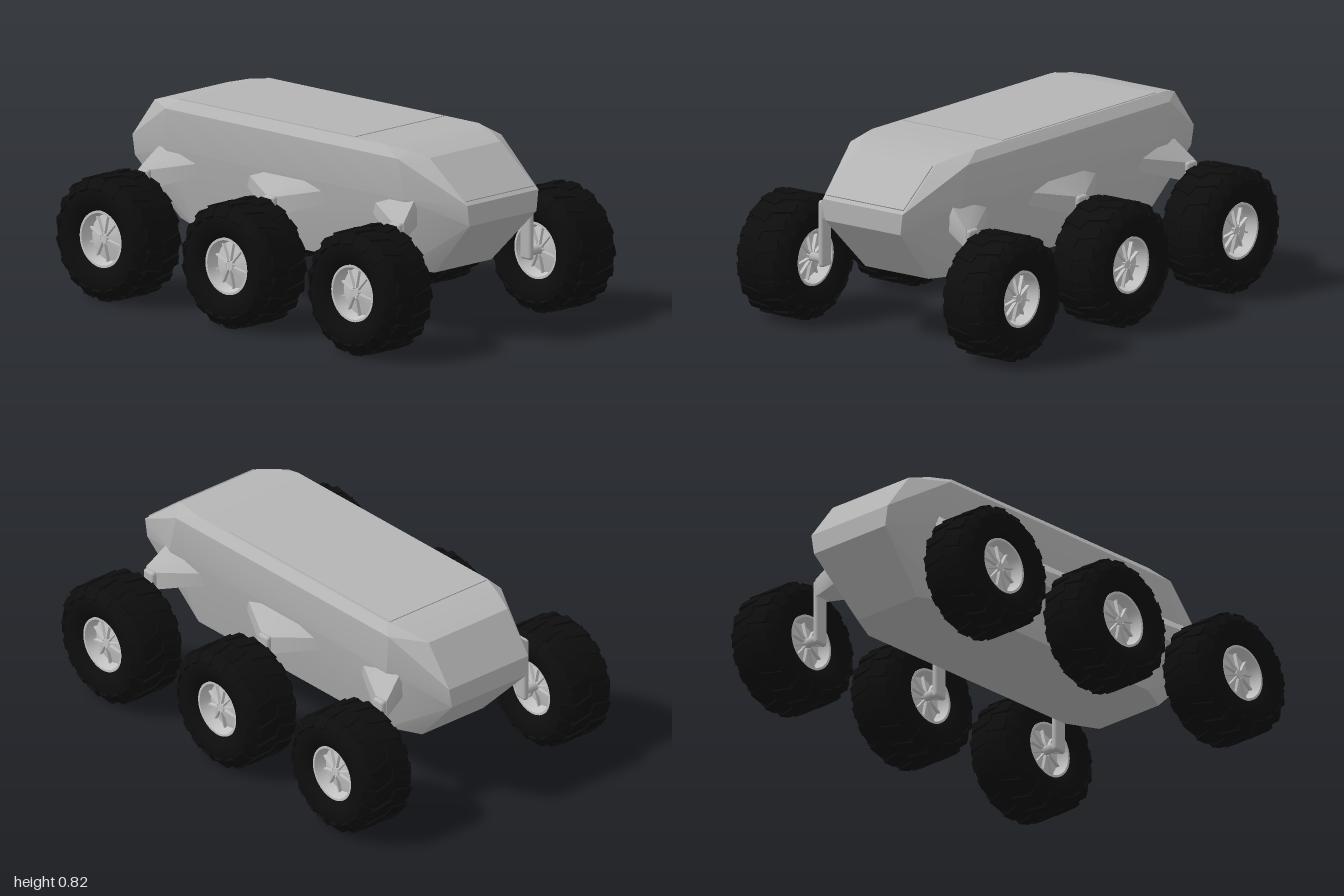
import * as THREE from 'three';
import { mergeGeometries, toCreasedNormals } from 'three/addons/utils/BufferGeometryUtils.js';
import { ConvexGeometry } from 'three/addons/geometries/ConvexGeometry.js';
import { RoundedBoxGeometry } from 'three/addons/geometries/RoundedBoxGeometry.js';

const bodyGrey = new THREE.MeshStandardMaterial({ name: 'body grey', color: 0xb4b4b4 });
const rimGrey = new THREE.MeshStandardMaterial({ name: 'rim grey', color: 0xc4c4c4 });
const tyreBlack = new THREE.MeshStandardMaterial({ name: 'tyre black', color: 0x0d0d0d });

function part(parent, name, geometry, material) {
  const mesh = new THREE.Mesh(geometry, material);
  mesh.name = name;
  parent.add(mesh);
  return mesh;
}

// Faceted solid spanning corner points, optionally mirrored across x
function hull(points, mirror = false) {
  const all = [];
  for (const [x, y, z] of points) {
    all.push(new THREE.Vector3(x, y, z));
    if (mirror) all.push(new THREE.Vector3(-x, y, z));
  }
  return new ConvexGeometry(all);
}

function lathe(points, segments) {
  return new THREE.LatheGeometry(points.map(([r, y]) => new THREE.Vector2(r, y)), segments);
}

// Tyre with staggered tread and shoulder lugs, axis along x
function tyreGeometry() {
  const pieces = [lathe([
    [0.118, -0.09], [0.125, -0.112], [0.16, -0.132], [0.2, -0.136], [0.228, -0.127],
    [0.25, -0.108], [0.259, -0.08], [0.261, 0], [0.259, 0.08],
    [0.25, 0.108], [0.228, 0.127], [0.2, 0.136], [0.16, 0.132], [0.125, 0.112], [0.118, 0.09],
  ], 48)];
  const steps = 18;
  for (let i = 0; i < steps; i++) {
    for (const side of [-1, 1]) {
      const angle = ((i + (side > 0 ? 0.5 : 0)) / steps) * Math.PI * 2;
      const tread = new THREE.BoxGeometry(0.02, 0.1, 0.05);
      tread.rotateX(side * 0.25).translate(0.257, side * 0.05, 0);
      const shoulder = new THREE.BoxGeometry(0.018, 0.06, 0.045);
      shoulder.rotateZ(side * 0.8).translate(0.235, side * 0.113, 0);
      pieces.push(tread.rotateY(angle), shoulder.rotateY(angle));
    }
  }
  return mergeGeometries(pieces).rotateZ(-Math.PI / 2);
}

// Dished rim with thin radial spokes on both faces, axis along x
function rimGeometry() {
  const dish = lathe([
    [0, -0.075], [0.03, -0.072], [0.1, -0.055], [0.112, -0.108], [0.122, -0.108],
    [0.122, 0.108], [0.112, 0.108], [0.1, 0.055], [0.03, 0.072], [0, 0.075],
  ], 40);
  const pieces = [toCreasedNormals(dish, 0.5)];
  for (const side of [-1, 1]) {
    for (let i = 0; i < 10; i++) {
      const spoke = new THREE.BoxGeometry(0.09, 0.022, 0.007);
      spoke.rotateZ(-side * 0.24).translate(0.062, side * 0.069, 0);
      pieces.push(spoke.rotateY((i / 10) * Math.PI * 2).toNonIndexed());
    }
    const cap = new THREE.CylinderGeometry(0.018, 0.018, 0.03, 16);
    pieces.push(cap.translate(0, side * 0.075, 0).toNonIndexed());
  }
  return mergeGeometries(pieces).rotateZ(-Math.PI / 2);
}

export function createModel() {
  const model = new THREE.Group();
  model.name = 'sixWheeledRover';

  // Hull: tapered nose and tail, sloping belly sides, chamfered roof
  const body = hull([
    [0.215, 0.61, 0.97], [0.203, 0.52, 0.97], [0.17, 0.28, 0.74], [0.24, 0.28, 0.6],
    [0.315, 0.61, 0.7], [0.315, 0.78, 0.66], [0.215, 0.782, 0.75], [0.25, 0.806, 0.66],
    [0.28, 0.82, 0.56], [0.28, 0.82, -0.64],
    [0.25, 0.808, -0.74], [0.315, 0.782, -0.69], [0.22, 0.782, -0.84], [0.22, 0.61, -0.97],
    [0.205, 0.52, -0.97], [0.17, 0.28, -0.74], [0.24, 0.28, -0.6], [0.315, 0.61, -0.68],
  ], true);
  part(model, 'body', toCreasedNormals(body, 0.3), bodyGrey);

  // Roof hatch panel
  part(model, 'roofPanel', new THREE.BoxGeometry(0.54, 0.008, 1.02), bodyGrey)
    .position.set(0, 0.819, -0.14);

  // Sloped front panel lying on the nose
  const slope = Math.atan2(0.172, 0.22);
  const front = part(model, 'frontPanel', new THREE.BoxGeometry(0.415, 0.008, 0.25), bodyGrey);
  front.position.set(0, 0.701, 0.856);
  front.rotation.x = slope;

  const tyre = tyreGeometry();
  const rim = rimGeometry();
  const strut = new RoundedBoxGeometry(0.028, 0.29, 0.065, 4, 0.013);
  const axle = new THREE.CylinderGeometry(0.02, 0.02, 0.1, 16).rotateZ(Math.PI / 2);

  for (const side of [-1, 1]) {
    for (const row of [-1, 0, 1]) {
      const station = new THREE.Group();
      station.name = `${side > 0 ? 'left' : 'right'}${['Rear', 'Middle', 'Front'][row + 1]}Wheel`;
      station.position.z = row * 0.73;
      model.add(station);

      // Suspension arm flares along the hull; end arms flare only inwards
      const reach = [row > 0 ? 0.02 : 0.24, row < 0 ? 0.02 : 0.24];
      const root = [];
      [1, -1].forEach((dir, i) => {
        const z = dir * reach[i];
        root.push([0.29, 0.575, z], [0.29, 0.52, z], [0.3, 0.61, z * 0.55], [0.28, 0.5, z * 0.5],
          [0.39, 0.53, dir * 0.035], [0.39, 0.45, dir * 0.035]);
      });
      const arm = hull(root.map(([x, y, z]) => [side * x, y, z]));
      part(station, 'suspensionArm', toCreasedNormals(arm, 0.5), bodyGrey);
      part(station, 'strut', strut, bodyGrey).position.set(side * 0.397, 0.386, 0);
      part(station, 'axle', axle, bodyGrey).position.set(side * 0.44, 0.272, 0);

      part(station, 'tyre', tyre, tyreBlack).position.set(side * 0.555, 0.27, 0);
      part(station, 'rim', rim, rimGrey).position.set(side * 0.555, 0.27, 0);
    }
  }
  return model;
}
